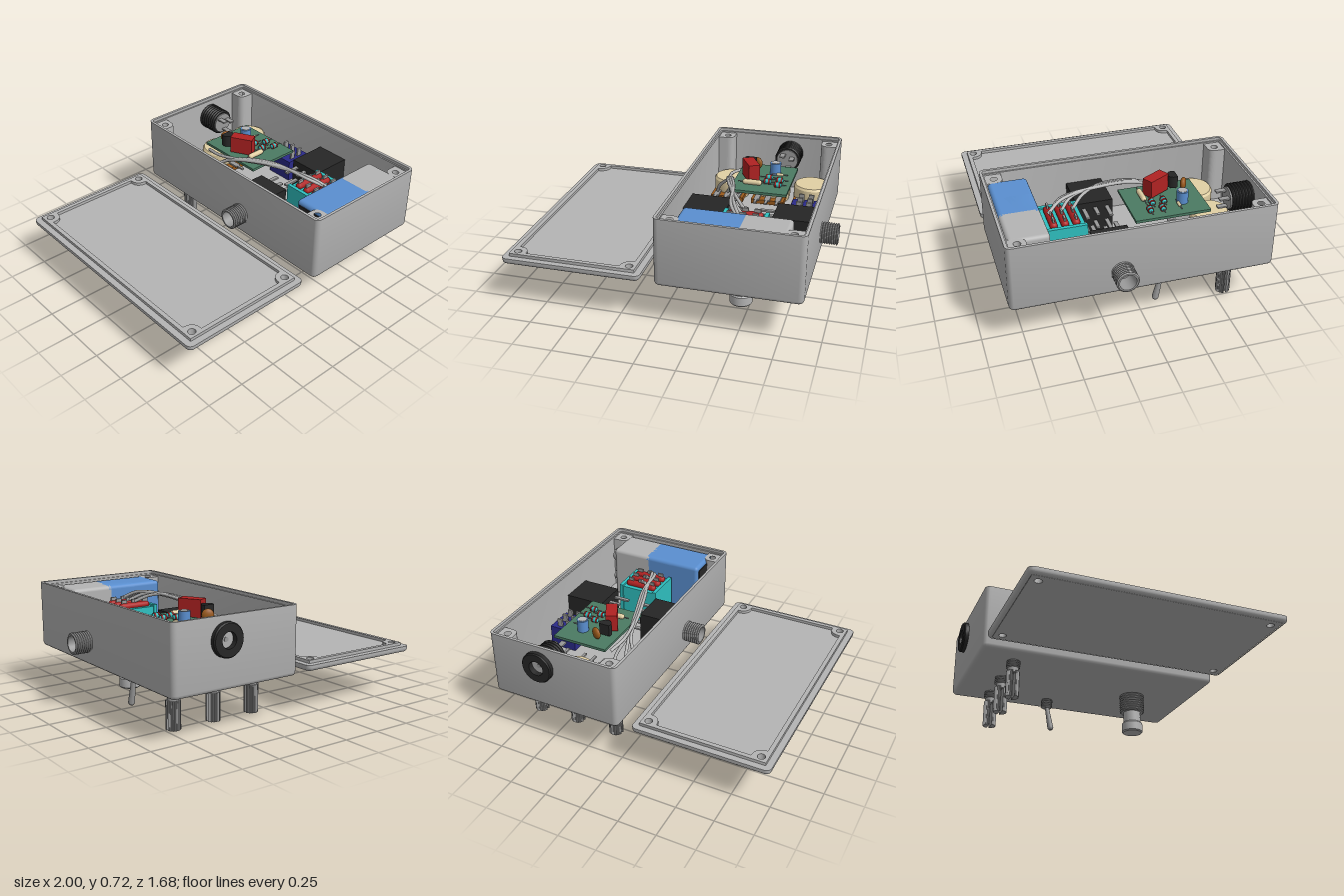
import * as THREE from 'three';
import { toCreasedNormals } from 'three/addons/utils/BufferGeometryUtils.js';
import { RoundedBoxGeometry } from 'three/addons/geometries/RoundedBoxGeometry.js';

const PI = Math.PI, HW = 0.45, HD = 0.825, CZ = 0.015, BOXX = 0.44, LIDX = -0.55;
const colours = {
  casingGrey: 0xb4b4b4, metal: 0x999999, black: 0x262626, beige: 0xe2d0a4, boardGreen: 0x4b7a63,
  batteryBlue: 0x5a8fd0, navy: 0x2a2a88, teal: 0x2fc0c0, red: 0xb02222, brown: 0x9a5a1c,
};

// Rounded rectangle rings swept along a profile of [inset, y]; inset null closes to the centre
function loft(profile, hw, hd, r, n = 6) {
  const pos = [], idx = [], m = 4 * (n + 1);
  for (const [inset, y] of profile) {
    for (let c = 0; c < 4; c++) for (let k = 0; k <= n; k++) {
      if (inset === null) { pos.push(0, y, 0); continue; }
      const a = (c + k / n) * PI / 2, q = Math.max(r - inset, 0.002);
      const sx = c === 0 || c === 3 ? 1 : -1, sz = c < 2 ? 1 : -1;
      pos.push(sx * (hw - inset - q) + q * Math.cos(a), y, sz * (hd - inset - q) + q * Math.sin(a));
    }
  }
  for (let j = 0; j < profile.length - 1; j++) for (let k = 0; k < m; k++) {
    const a = j * m + k, b = j * m + (k + 1) % m;
    idx.push(a, a + m, b, b, a + m, b + m);
  }
  const g = new THREE.BufferGeometry();
  g.setAttribute('position', new THREE.Float32BufferAttribute(pos, 3));
  g.setIndex(idx);
  return toCreasedNormals(g, 0.6);
}

// Flat outline in x,z extruded from y0 to y1
function slab(shape, y0, y1) {
  return new THREE.ExtrudeGeometry(shape, { depth: y1 - y0, bevelEnabled: false, curveSegments: 10 })
    .rotateX(PI / 2).translate(0, y1, 0);
}
const turn = (pts, seg = 32) =>
  toCreasedNormals(new THREE.LatheGeometry(pts.map(p => new THREE.Vector2(p[0], p[1])), seg), 0.5);
function threads(r, y0, y1, n, depth = 0.008) {
  const pts = [];
  for (let i = 0; i < n; i++) {
    const s = (y1 - y0) / n, y = y0 + i * s;
    pts.push([r - depth, y], [r, y + s * 0.4], [r, y + s * 0.6]);
  }
  pts.push([r - depth, y1]);
  return pts;
}
const holeAt = (x, z, r) => new THREE.Path().absarc(x, z, r, 0, 2 * PI, true);
const box = (w, h, d) => new THREE.BoxGeometry(w, h, d);
const cyl = (r, h, seg = 24) => new THREE.CylinderGeometry(r, r, h, seg);
const corners = [[1, 1], [-1, 1], [-1, -1], [1, -1]];

export function createModel() {
  const root = new THREE.Group(), M = {};
  for (const k in colours) {
    M[k] = new THREE.MeshStandardMaterial({ color: colours[k] });
    M[k].name = k;
  }
  const add = (name, geo, mat, x = 0, y = 0, z = 0, rx = 0, ry = 0, rz = 0) => {
    const mesh = new THREE.Mesh(geo, M[mat]);
    mesh.name = name;
    mesh.position.set(x, y, z);
    mesh.rotation.set(rx, ry, rz);
    root.add(mesh);
    return mesh;
  };

  // Open enclosure with rounded bottom edge
  add('enclosure', loft([[null, 0.28], [0.025, 0.28], [0.012, 0.284], [0.004, 0.292], [0, 0.305], [0, 0.72],
    [0.018, 0.72], [0.018, 0.7], [0.028, 0.7], [0.028, 0.31], [null, 0.31]], HW, HD, 0.035), 'casingGrey', BOXX, 0, CZ);
  for (const [sx, sz] of corners) {
    const s = new THREE.Shape(), X = sx * (HW - 0.025), Z = sz * (HD - 0.025), e = 0.11;
    s.moveTo(X, Z);
    s.lineTo(X - sx * e, Z);
    s.lineTo(X - sx * e, Z - sz * 0.06);
    s.quadraticCurveTo(X - sx * e, Z - sz * e, X - sx * 0.06, Z - sz * e);
    s.lineTo(X, Z - sz * e);
    s.closePath();
    s.holes.push(holeAt(sx * 0.366, sz * 0.743, 0.022));
    add('screwPost', slab(s, 0.31, 0.69), 'casingGrey', BOXX, 0, CZ);
  }

  // Lid lying beside the enclosure
  const lidHoles = () => corners.map(([sx, sz]) => holeAt(sx * 0.366, sz * 0.743, 0.024));
  add('lidEdge', loft([[0.025, 0.285], [0.012, 0.288], [0.003, 0.297], [0, 0.308], [0, 0.325], [0.04, 0.325],
    [0.04, 0.345], [0.045, 0.345]], HW, HD, 0.035), 'casingGrey', LIDX, 0, CZ);
  const rect = (w, d) => new THREE.Shape(
    [[w, d], [-w, d], [-w, -d], [w, -d]].map(p => new THREE.Vector2(...p)));
  const plate = rect(HW - 0.027, HD - 0.027);
  plate.holes = lidHoles();
  add('lidPlate', slab(plate, 0.285, 0.325), 'casingGrey', LIDX, 0, CZ);
  const lip = rect(HW - 0.041, HD - 0.041), w = HW - 0.068, d = HD - 0.068, n = 0.075, inner = new THREE.Path();
  inner.moveTo(w, d - n);
  inner.quadraticCurveTo(w - n, d - n, w - n, d);
  inner.lineTo(-w + n, d);
  inner.quadraticCurveTo(-w + n, d - n, -w, d - n);
  inner.lineTo(-w, -d + n);
  inner.quadraticCurveTo(-w + n, -d + n, -w + n, -d);
  inner.lineTo(w - n, -d);
  inner.quadraticCurveTo(w - n, -d + n, w, -d + n);
  inner.closePath();
  lip.holes = [inner, ...lidHoles()];
  add('lidLip', slab(lip, 0.32, 0.345), 'casingGrey', LIDX, 0, CZ);

  // Side jacks: black body, hollow threaded bushing, solder lugs
  for (const s of [-1, 1]) {
    const bush = turn([...threads(0.07, 0, 0.118, 8), [0.052, 0.118], [0.052, 0.005], [0, 0.005]]);
    add('jackBushing', bush, 'metal', BOXX + s * 0.442, 0.43, 0.163, 0, 0, -s * PI / 2);
    add('jackBody', box(0.27, 0.23, 0.235), 'black', BOXX + s * 0.287, 0.43, 0.163);
    for (const [z, l] of [[0.085, 0.11], [0.16, 0.08], [0.235, 0.11]]) for (const y of [0.4, 0.5])
      add('jackLug', box(l, 0.012, 0.025), 'metal', BOXX + s * (0.152 - l / 2), y, z);
  }

  // Potentiometers with split knurled shafts
  const half = new THREE.Shape();
  half.moveTo(0.043, 0.007);
  for (let i = 1; i < 24; i++) {
    const a = 0.16 + (PI - 0.32) * i / 24, r = i % 2 ? 0.046 : 0.041;
    half.lineTo(r * Math.cos(a), r * Math.sin(a));
  }
  half.lineTo(-0.043, 0.007);
  half.closePath();
  for (const x of [0.15, 0.44, 0.725]) {
    const z = -0.56;
    for (const r of [0, PI]) add('potShaft', slab(half, 0.02, 0.2), 'metal', x, 0, z, 0, r);
    add('potNeck', cyl(0.036, 0.05), 'metal', x, 0.215, z);
    add('potBushing', turn(threads(0.047, 0.225, 0.29, 5)), 'metal', x, 0, z);
    add('potCan', turn([[0.12, 0.31], [0.125, 0.32], [0.125, 0.435], [0.115, 0.45], [0, 0.45]], 40), 'beige', x, 0, z);
    add('potTab', box(0.035, 0.1, 0.02), 'beige', x + 0.115, 0.39, z);
    add('potWafer', box(0.23, 0.03, 0.14), 'brown', x, 0.345, -0.45);
    for (const i of [-1, 0, 1]) {
      add('potLug', box(0.038, 0.012, 0.1), 'metal', x + i * 0.075, 0.366, -0.41);
      add('potLugTip', box(0.018, 0.012, 0.07), 'metal', x + i * 0.075, 0.366, -0.34);
    }
  }

  // Power socket on the back wall
  add('powerSocket', turn([[0, 0], ...threads(0.09, 0, 0.17, 8), [0.105, 0.172], [0.105, 0.197], [0.098, 0.205],
    [0.05, 0.205], [0.05, 0.06], [0, 0.06]], 40), 'black', 0.53, 0.58, -0.64, -PI / 2);
  add('socketPin', cyl(0.014, 0.12, 16), 'metal', 0.53, 0.58, -0.755, PI / 2);
  add('socketEnd', cyl(0.072, 0.012), 'metal', 0.53, 0.58, -0.636, PI / 2);
  for (const [x, y] of [[0.5, 0.62], [0.54, 0.53], [0.565, 0.6]])
    add('socketLug', box(0.035, 0.01, 0.07), 'metal', x, y, -0.6);

  // Foot switch: plunger below, teal body with red lugs inside
  add('footBushing', turn(threads(0.088, 0.155, 0.29, 8)), 'metal', 0.44, 0, 0.42);
  add('footBushingEnd', cyl(0.08, 0.01), 'metal', 0.44, 0.158, 0.42);
  add('footPlunger', turn([[0, 0], [0.066, 0], [0.073, 0.008], [0.073, 0.066], [0.066, 0.075], [0.06, 0.075],
    [0.06, 0.16]]), 'casingGrey', 0.44, 0, 0.42);
  add('footBody', box(0.265, 0.26, 0.235), 'teal', 0.437, 0.44, 0.41);
  for (const s of [-1, 1]) add('footRim', box(0.025, 0.27, 0.25), 'teal', 0.437 + s * 0.13, 0.447, 0.41);
  for (const z of [0.345, 0.415, 0.485]) {
    add('footLugBase', new THREE.CapsuleGeometry(0.025, 0.18, 4, 12), 'red', 0.437, 0.58, z, 0, 0, PI / 2);
    for (const x of [0.355, 0.437, 0.515]) add('footLug', box(0.04, 0.05, 0.012), 'metal', x, 0.6, z);
  }

  // Toggle switch
  add('toggleBody', box(0.185, 0.15, 0.195), 'navy', 0.737, 0.385, -0.14);
  for (const x of [0.705, 0.77]) for (const z of [-0.205, -0.14, -0.075])
    add('togglePin', box(0.035, 0.06, 0.014), 'metal', x, 0.485, z);
  add('toggleBushing', turn([[0, 0.22], ...threads(0.042, 0.22, 0.29, 5)]), 'metal', 0.735, 0, -0.135);
  add('toggleLever', turn([[0, -0.1], [0.014, -0.097], [0.021, -0.085], [0.021, -0.07], [0.014, 0.09]], 20),
    'metal', 0.735, 0.15, -0.117, -0.2);

  // Battery
  add('batteryLabel', new RoundedBoxGeometry(0.405, 0.37, 0.25, 3, 0.025), 'batteryBlue', 0.3035, 0.505, 0.682);
  add('batteryShell', new RoundedBoxGeometry(0.31, 0.37, 0.25, 3, 0.025), 'casingGrey', 0.62, 0.505, 0.682);
  add('batteryLabelSleeve', loft([[0, 0], [0, 0.2]], 0.185, 0.125, 0.025), 'batteryBlue', 0.506, 0.505, 0.682, 0, 0, PI / 2);
  add('batteryBase', box(0.006, 0.31, 0.2), 'black', 0.099, 0.505, 0.682);
  add('batteryTerminal', cyl(0.042, 0.055, 6), 'metal', 0.8, 0.59, 0.665, 0, 0, PI / 2);
  add('batteryTerminal', cyl(0.032, 0.055), 'metal', 0.8, 0.42, 0.665, 0, 0, PI / 2);

  // Circuit board and its components
  const B = 0.585;
  add('circuitBoard', box(0.38, 0.018, 0.485), 'boardGreen', 0.441, B - 0.009, -0.243);
  add('filmCapacitor', box(0.075, 0.115, 0.155), 'red', 0.352, B + 0.065, -0.217, 0, 0.5);
  add('discCapacitor', new THREE.SphereGeometry(0.04, 16, 12).scale(1, 1, 0.5), 'brown', 0.362, B + 0.045, -0.4, 0, -0.5);
  const half2 = new THREE.Shape().absarc(0, 0, 0.04, -0.5, PI + 0.5, false);
  add('transistor', slab(half2, B + 0.02, B + 0.1), 'black', 0.325, 0, -0.345);
  add('drumCapacitor', cyl(0.037, 0.08), 'batteryBlue', 0.497, B + 0.04, -0.345);
  add('drumCapacitorTop', cyl(0.028, 0.006), 'casingGrey', 0.497, B + 0.08, -0.345);
  const resistor = (x, z, len, r, mat, bands) => {
    add('resistor', new THREE.CapsuleGeometry(r, len - 2 * r, 4, 12), mat, x, B + r, z, 0, 0, PI / 2);
    add('resistorLead', cyl(0.004, len + 0.06, 8), 'metal', x, B + r, z, 0, 0, PI / 2);
    for (const s of bands) add('resistorBand', cyl(r + 0.002, 0.01, 12), 'red', x + s * len * 0.25, B + r, z, 0, 0, PI / 2);
  };
  for (const [x, z] of [[0.475, -0.228], [0.553, -0.195], [0.475, -0.152], [0.553, -0.115]])
    resistor(x, z, 0.055, 0.018, 'teal', [-1, 1]);
  resistor(0.382, -0.115, 0.13, 0.018, 'beige', []);
  resistor(0.535, -0.31, 0.05, 0.01, 'beige', []);

  // Hook-up wires from the left control to the foot switch
  const wire = pts => add('wire', new THREE.TubeGeometry(
    new THREE.CatmullRomCurve3(pts.map(p => new THREE.Vector3(...p))), 40, 0.011, 8), 'casingGrey');
  [[0.075, 0.345], [0.15, 0.415], [0.225, 0.485]].forEach(([x, z], i) => wire([[x, 0.38, -0.42],
    [x + 0.03, 0.45, -0.36], [0.2 + i * 0.012, 0.56, -0.24], [0.225 + i * 0.014, 0.63, -0.08],
    [0.29 + i * 0.012, 0.67, 0.14], [0.36, 0.655, z - 0.08], [0.43, 0.61, z]]));
  wire([[0.24, 0.55, -0.44], [0.21, 0.58, -0.3], [0.235, 0.62, -0.1], [0.3, 0.66, 0.15], [0.38, 0.66, 0.4], [0.44, 0.61, 0.5]]);
  return root;
}
